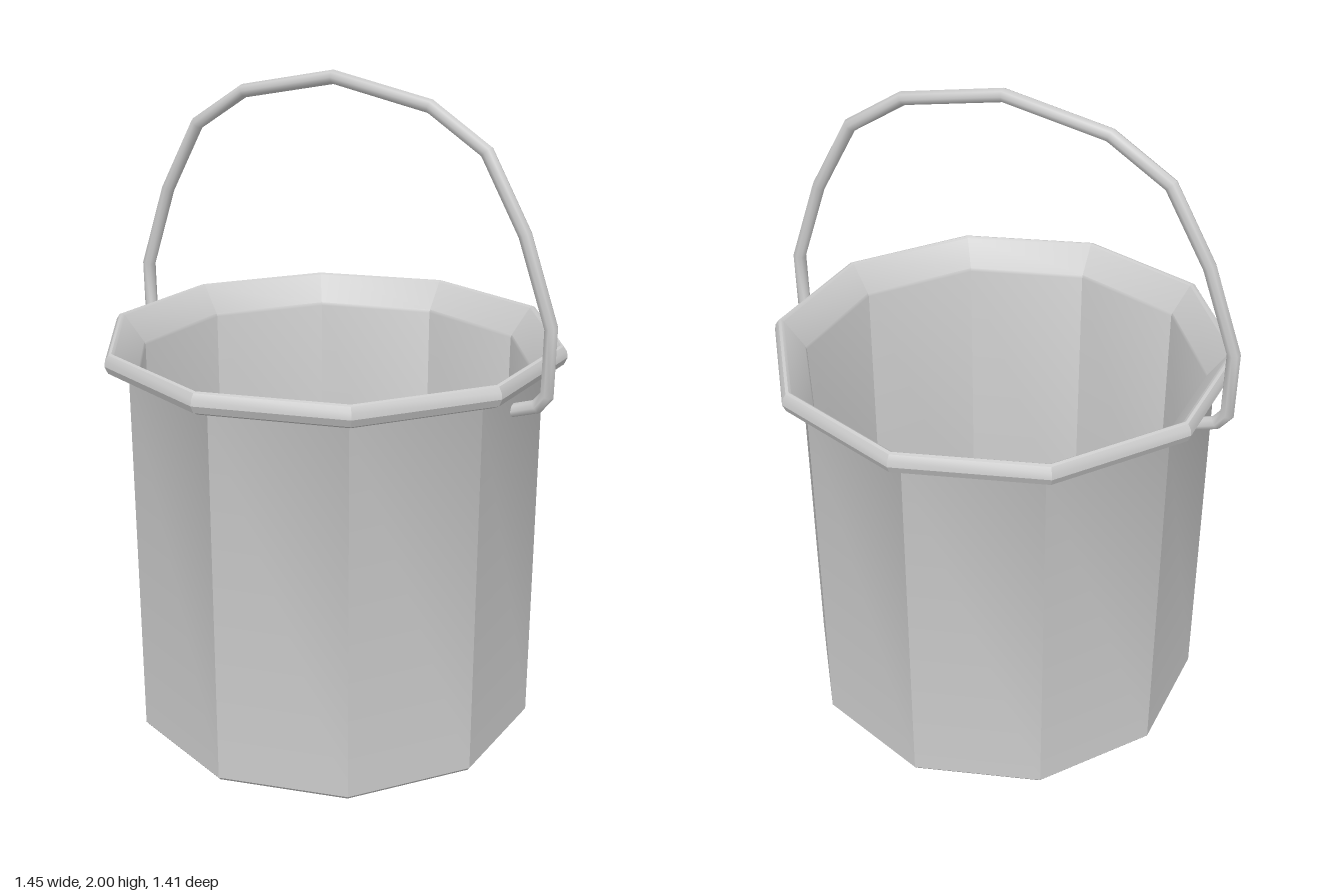
import * as THREE from 'three';
import { toCreasedNormals } from 'three/addons/utils/BufferGeometryUtils.js';

const material = new THREE.MeshStandardMaterial({ color: 0xcccccc });
const points = (list) => list.map(([x, y]) => new THREE.Vector2(x, y));

function addMesh(group, name, geometry, crease) {
  const mesh = new THREE.Mesh(toCreasedNormals(geometry, crease), material);
  mesh.name = name;
  group.add(mesh);
}

// Sweeps a round section along a path in the xy plane, mitred at each bend
function sweepRod(path, radius, sides) {
  const position = [], index = [];
  path.forEach((p, i) => {
    const prev = path[Math.max(i - 1, 0)], next = path[Math.min(i + 1, path.length - 1)];
    const d1 = (i > 0 ? p.clone().sub(prev) : next.clone().sub(p)).normalize();
    const d2 = (i < path.length - 1 ? next.clone().sub(p) : d1.clone()).normalize();
    const t = d1.clone().add(d2).normalize();
    const stretch = radius / t.dot(d1);
    for (let j = 0; j < sides; j++) {
      const a = (j / sides) * Math.PI * 2;
      const c = Math.cos(a) * stretch;
      position.push(p.x - t.y * c, p.y + t.x * c, Math.sin(a) * radius);
      if (i === 0) continue;
      const k = (j + 1) % sides, low = (i - 1) * sides, high = i * sides;
      index.push(low + j, low + k, high + j, low + k, high + k, high + j);
    }
  });
  const geometry = new THREE.BufferGeometry();
  geometry.setAttribute('position', new THREE.Float32BufferAttribute(position, 3));
  geometry.setIndex(index);
  return geometry;
}

export function createModel() {
  const group = new THREE.Group();
  group.name = 'bucket';

  // Ten-sided bucket: underside, outer wall, rolled rim, flared lip, inner wall, floor
  const profile = points([
    [0, 0], [0.627, 0], [0.635, 0.01], [0.635, 1.148],
    [0.642, 1.162], [0.675, 1.165], [0.695, 1.175], [0.705, 1.197],
    [0.702, 1.215], [0.692, 1.23], [0.683, 1.233], [0.675, 1.228],
    [0.614, 1.145], [0.61, 1.135], [0.61, 0.025], [0, 0.025],
  ]);
  addMesh(group, 'bucketBody', new THREE.LatheGeometry(profile, 10), Math.PI / 6);

  // Bail handle: half the outline mirrored, hooked ends set into the wall
  const half = [
    [0.59, 1.083], [0.675, 1.112], [0.705, 1.15], [0.707, 1.345],
    [0.617, 1.595], [0.493, 1.81], [0.315, 1.92],
  ];
  const mirrored = half.map(([x, y]) => [-x, y]).reverse();
  const path = points([...half, [0, 1.98], ...mirrored]);
  addMesh(group, 'handle', sweepRod(path, 0.02, 8), Math.PI / 3.5);

  return group;
}
